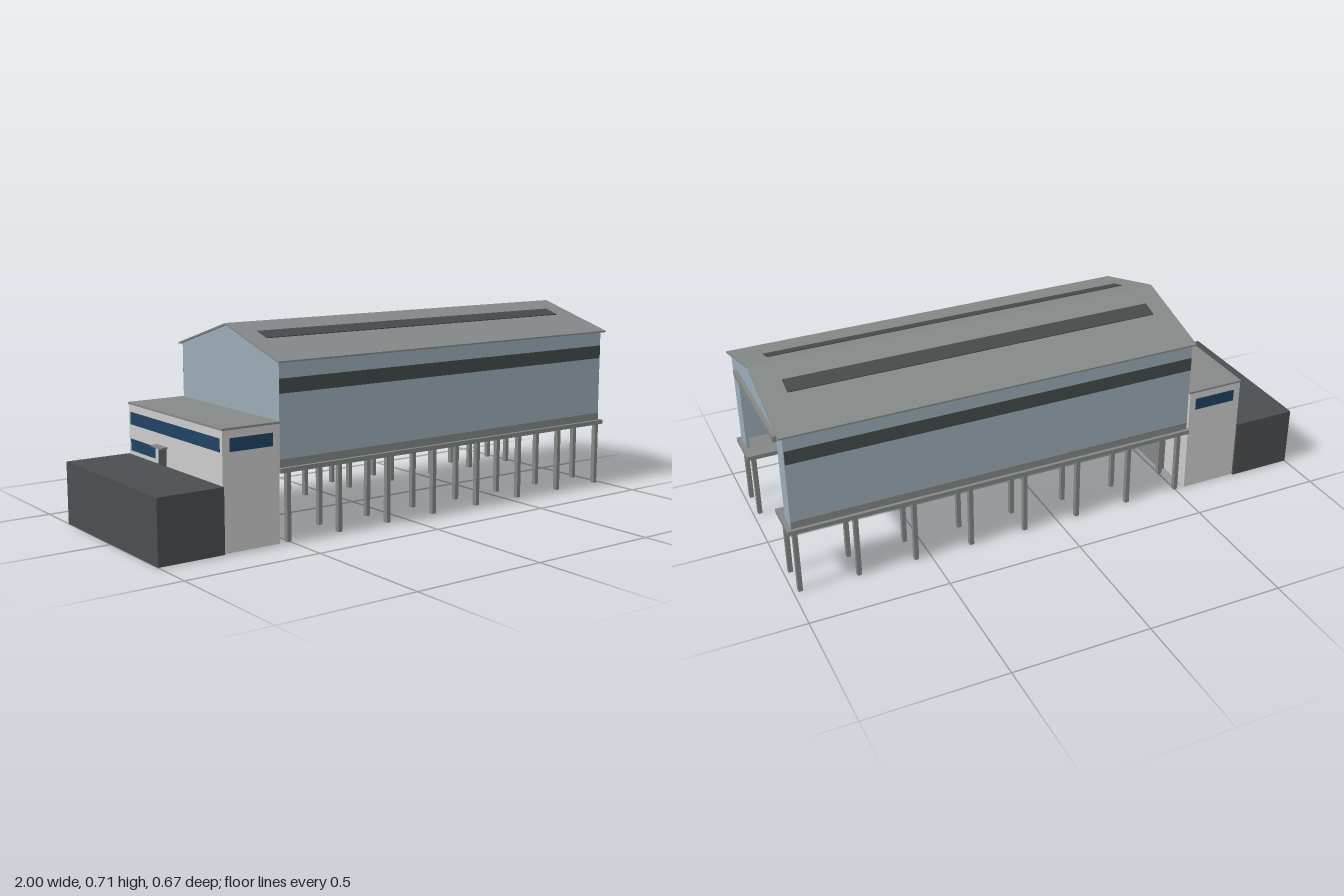
import * as THREE from 'three';

const mat = (name, color) => Object.assign(new THREE.MeshStandardMaterial({ color }), { name });

export function createModel() {
  const model = new THREE.Group();
  model.name = 'boathouse';
  const blue = mat('blue cladding', 0x9aabb7);
  const roofGrey = mat('roof grey', 0x858988);
  const deckGrey = mat('deck grey', 0x848786);
  const light = mat('light render', 0xcbcbcb);
  const dark = mat('dark stone', 0x4a4e50);
  const band = mat('dark band', 0x454a4a);
  const navy = mat('navy glass', 0x1f4163);
  const yellow = mat('crane yellow', 0xe0c020);

  const add = (name, geometry, material) => {
    const mesh = new THREE.Mesh(geometry, material);
    mesh.name = name;
    model.add(mesh);
    return mesh;
  };
  // box given by its limits on each axis
  const box = (name, m, x0, x1, y0, y1, z0, z1) => {
    const g = new THREE.BoxGeometry(x1 - x0, y1 - y0, z1 - z0);
    g.translate((x0 + x1) / 2, (y0 + y1) / 2, (z0 + z1) / 2);
    return add(name, g, m);
  };
  // the same box on the front and back sides
  const pair = (name, m, x0, x1, y0, y1, z0, z1) => {
    box(name, m, x0, x1, y0, y1, z0, z1);
    box(name, m, x0, x1, y0, y1, -z1, -z0);
  };
  // outline in z and y, extruded along x
  const section = (name, m, points, x0, x1) => {
    const shape = new THREE.Shape(points.map(([z, y]) => new THREE.Vector2(z, y)));
    const g = new THREE.ExtrudeGeometry(shape, { depth: x1 - x0, bevelEnabled: false });
    g.rotateY(Math.PI / 2).translate(x0, 0, 0);
    return add(name, g, m);
  };

  // hall walls: plain gable, gable with a doorway, long sides
  section('rearGable', blue,
    [[-0.32, 0.255], [0.32, 0.255], [0.32, 0.612], [0, 0.706], [-0.32, 0.612]], -0.535, -0.523);
  section('doorGable', blue,
    [[-0.32, 0.255], [-0.245, 0.255], [-0.245, 0.56], [0.245, 0.56], [0.245, 0.255],
      [0.32, 0.255], [0.32, 0.612], [0, 0.706], [-0.32, 0.612]], 0.973, 0.985);
  pair('sideWall', blue, -0.523, 0.973, 0.255, 0.612, 0.31, 0.32);
  pair('windowBand', band, -0.535, 0.983, 0.505, 0.555, 0.32, 0.322);
  pair('innerGlazing', navy, -0.52, 0.97, 0.505, 0.555, 0.308, 0.31);
  pair('plinth', deckGrey, -0.535, 0.985, 0.257, 0.285, 0.32, 0.322);
  box('doorLintel', deckGrey, 0.985, 0.999, 0.557, 0.578, -0.252, 0.252);

  // pitched roof with a skylight strip on each slope
  section('roof', roofGrey,
    [[-0.333, 0.608], [0, 0.706], [0.333, 0.608], [0.333, 0.614], [0, 0.712], [-0.333, 0.614]], -0.545, 1);
  const pitch = Math.atan2(0.098, 0.333);
  for (const s of [1, -1]) {
    const strip = add('skylight', new THREE.BoxGeometry(1.38, 0.004, 0.0625), band);
    strip.position.set(0.22, 0.712 - 0.12 * Math.tan(pitch) + 0.001, s * 0.12);
    strip.rotation.x = s * pitch;
  }

  // overhead crane
  pair('craneRail', deckGrey, -0.52, 0.97, 0.56, 0.572, 0.28, 0.3);
  box('craneBridge', yellow, 0.18, 0.22, 0.572, 0.598, -0.3, 0.3);

  // decks on piles, either side of the open water
  pair('deck', deckGrey, -0.54, 1, 0.24, 0.256, 0.18, 0.333);
  for (let i = 0; i < 8; i++) {
    const x = -0.502 + i * 0.211;
    for (const z of [0.316, 0.198]) {
      pair('pile', deckGrey, x - 0.008, x + 0.008, 0, 0.24, z - 0.009, z + 0.009);
    }
  }
  box('dockWall', deckGrey, -0.538, -0.52, 0, 0.255, -0.18, 0.18);

  // annex with windows, door and canopy
  box('annex', light, -0.757, -0.54, 0, 0.407, -0.325, 0.325);
  box('annexRoof', roofGrey, -0.759, -0.536, 0.407, 0.414, -0.327, 0.327);
  pair('annexSideWindow', navy, -0.73, -0.565, 0.335, 0.38, 0.325, 0.327);
  box('annexUpperWindow', navy, -0.759, -0.757, 0.335, 0.38, -0.31, 0.31);
  box('annexLowerWindow', navy, -0.759, -0.757, 0.24, 0.282, -0.31, -0.13);
  box('annexDoor', band, -0.759, -0.757, 0.225, 0.285, -0.105, -0.05);
  box('doorCanopy', deckGrey, -0.783, -0.757, 0.288, 0.294, -0.117, -0.04);

  // quay block
  box('quay', dark, -1, -0.757, 0, 0.225, -0.333, 0.333);
  return model;
}
